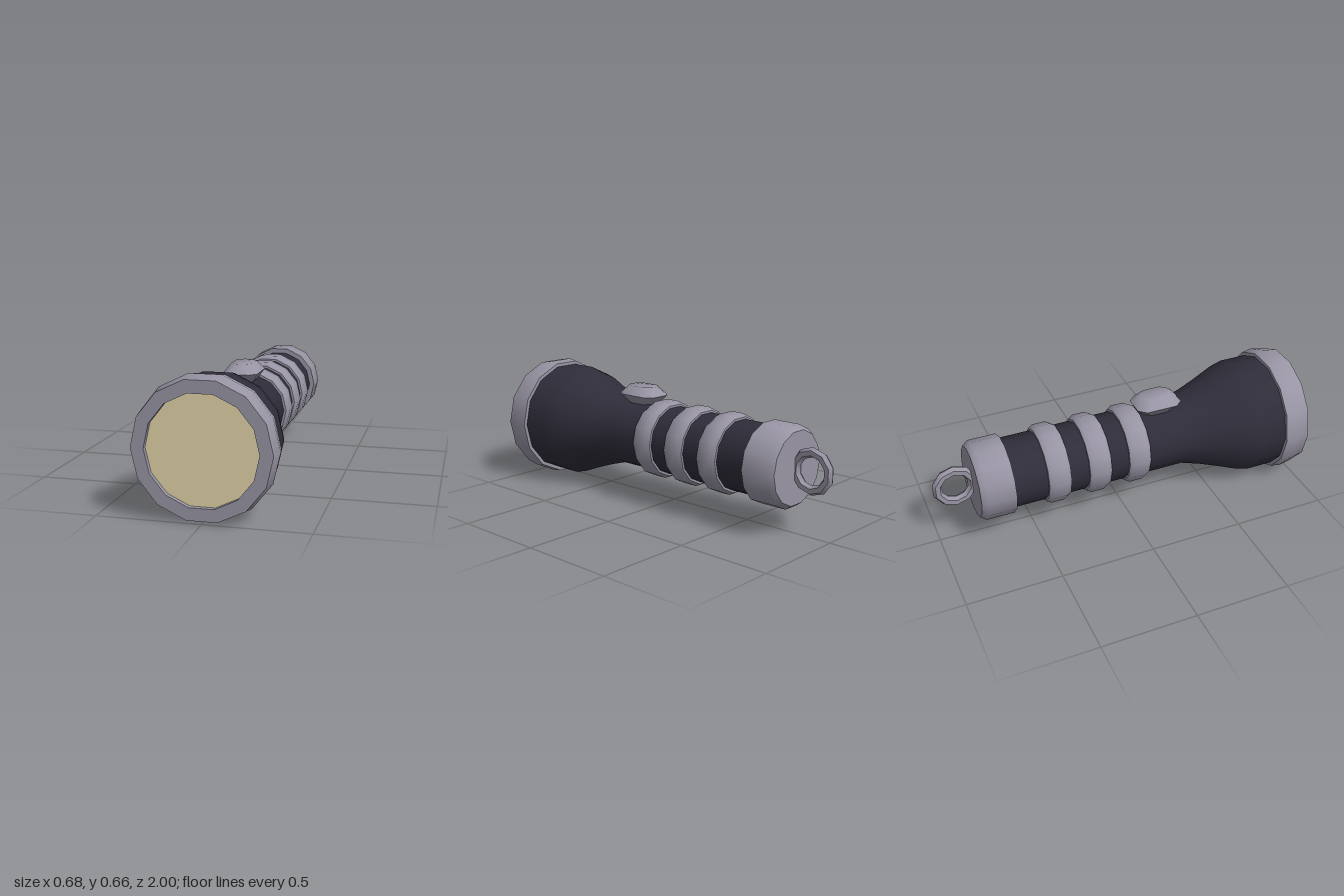
import * as THREE from 'three';
import { toCreasedNormals } from 'three/addons/utils/BufferGeometryUtils.js';
import { ConvexGeometry } from 'three/addons/geometries/ConvexGeometry.js';

const SIDES = 14;
const AXIS_Y = 0.333;
const dark = new THREE.MeshStandardMaterial({ color: 0x2f2d3a });
const grey = new THREE.MeshStandardMaterial({ color: 0x9894a4 });
const glow = new THREE.MeshStandardMaterial({ color: 0xe2d5a8 });

export function createModel() {
  const group = new THREE.Group();

  function add(name, geometry, material, crease = 0.6) {
    const mesh = new THREE.Mesh(toCreasedNormals(geometry, crease), material);
    mesh.name = name;
    group.add(mesh);
    return mesh;
  }

  // Turned part around the long axis; profile is [radius, z] from back to front
  function turned(name, profile, material, crease) {
    const points = profile.map(([r, z]) => new THREE.Vector2(r, z));
    const geometry = new THREE.LatheGeometry(points, SIDES, Math.PI / 2);
    geometry.rotateX(Math.PI / 2);
    geometry.translate(0, AXIS_Y, 0);
    return add(name, geometry, material, crease);
  }

  // Handle tube flaring into the head
  turned('body', [
    [0.184, -0.7], [0.184, 0.34], [0.211, 0.43], [0.243, 0.52],
    [0.295, 0.65], [0.312, 0.72], [0.312, 0.9],
  ], dark);

  // Front rim with a recessed opening
  turned('bezel', [
    [0.29, 0.865], [0.331, 0.865], [0.34, 0.92], [0.326, 1], [0.264, 1], [0.264, 0.97],
  ], grey);
  turned('lens', [[0.266, 0.975], [0, 0.975]], glow);

  // Grip rings
  for (const z of [0.06, -0.162, -0.385]) {
    turned('gripRing', [
      [0.18, z - 0.06], [0.196, z - 0.06], [0.211, z - 0.035],
      [0.211, z + 0.035], [0.196, z + 0.06], [0.18, z + 0.06],
    ], grey, 0.9);
  }

  // Tail cap
  turned('tailCap', [
    [0, -0.8], [0.188, -0.8], [0.21, -0.77], [0.21, -0.622], [0.18, -0.622],
  ], grey, 0.8);

  // Switch: octagonal pad, widest at mid height
  const padPoints = [];
  const layers = [[0.508, 0.055, 0.085], [0.557, 0.088, 0.125], [0.603, 0.055, 0.085]];
  for (const [y, w, l] of layers) {
    for (const sx of [-1, 1]) {
      for (const sz of [-1, 1]) {
        padPoints.push(new THREE.Vector3(sx * w, y, 0.228 + sz * (l - 0.04)));
        padPoints.push(new THREE.Vector3(sx * (w - 0.035), y, 0.228 + sz * l));
      }
    }
  }
  add('switch', new ConvexGeometry(padPoints), grey, 1.0);

  // Lanyard loop standing upright behind the tail cap
  const loop = new THREE.TorusGeometry(0.095, 0.025, 6, 10);
  loop.rotateZ(Math.PI / 10);
  loop.rotateY(Math.PI / 2);
  loop.translate(0, AXIS_Y, -0.886);
  add('lanyardLoop', loop, grey, 0.7);

  return group;
}
